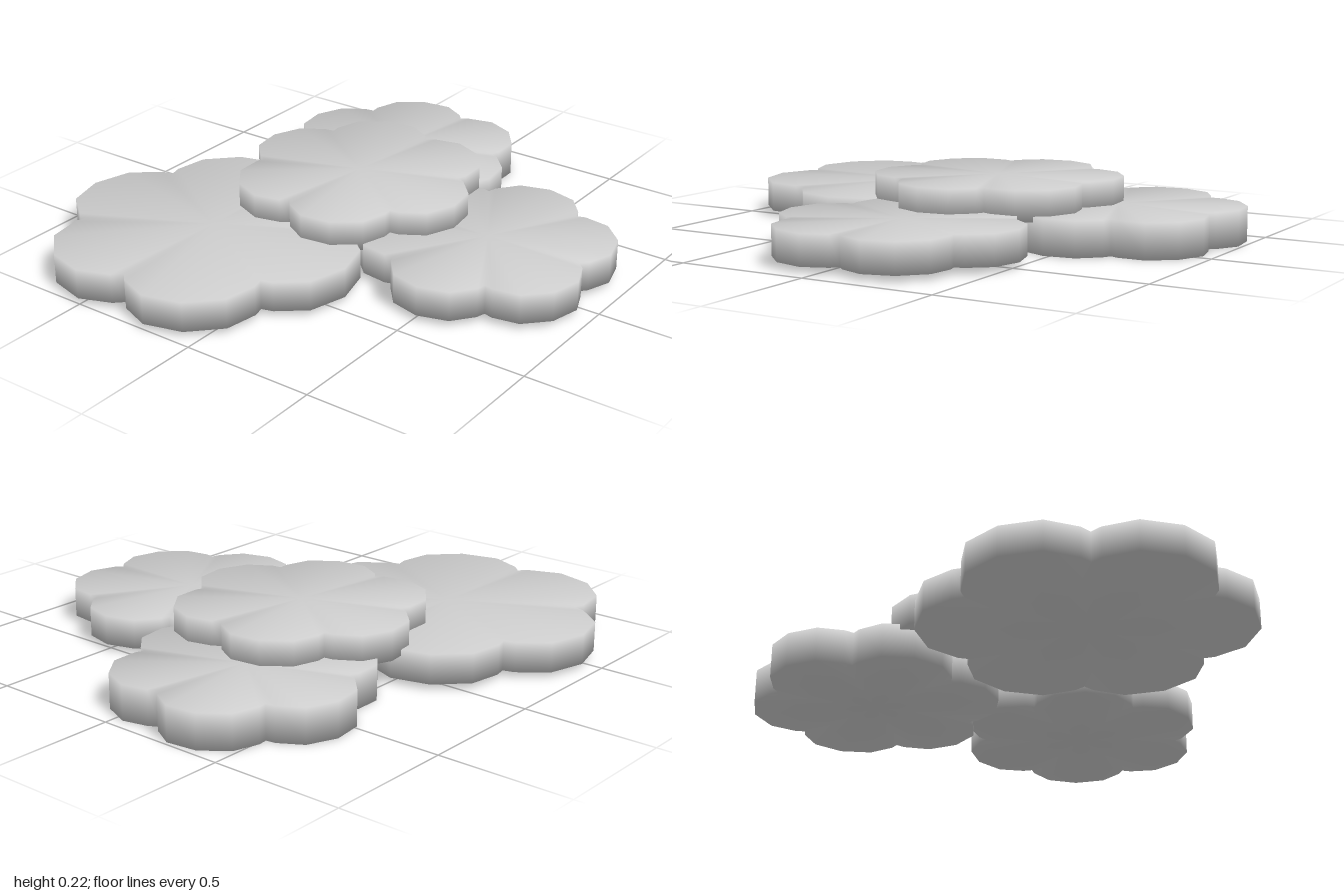
import * as THREE from 'three';

// One lobe of the scalloped rim: [degrees from lobe axis, radius as a share of the tip radius]
const LOBE = [[-30, 0.8], [-26.3, 0.855], [-14.6, 0.965], [0, 1], [14.6, 0.965], [26.3, 0.855]];

// Six-lobed slab with a softly shaded rim (cap and side share their vertices)
function scallopedSlab(radius, turn, height) {
  const rim = [];
  for (let k = 0; k < 6; k++) {
    for (const [deg, r] of LOBE) {
      const a = THREE.MathUtils.degToRad(deg + turn + k * 60);
      rim.push([Math.sin(a) * r * radius, -Math.cos(a) * r * radius]);
    }
  }
  const n = rim.length;
  const positions = [];
  for (const y of [0, height]) {
    for (const [x, z] of rim) positions.push(x, y, z);
  }
  positions.push(0, 0, 0, 0, height, 0);
  const bottomCentre = 2 * n, topCentre = 2 * n + 1;

  const index = [];
  for (let i = 0; i < n; i++) {
    const j = (i + 1) % n;
    index.push(topCentre, n + j, n + i); // upper cap
    index.push(bottomCentre, i, j); // lower cap
    index.push(i, n + i, n + j, i, n + j, j); // rim
  }
  const geometry = new THREE.BufferGeometry();
  geometry.setAttribute('position', new THREE.Float32BufferAttribute(positions, 3));
  geometry.setIndex(index);
  geometry.computeVertexNormals();
  return geometry;
}

export function createModel() {
  const group = new THREE.Group();
  group.name = 'scallopedPads';
  const grey = new THREE.MeshStandardMaterial({ color: 0xcccccc });
  grey.name = 'light grey';

  // name, centre x, centre z, tip radius, turn in degrees, bottom y, top y
  const pads = [
    ['largeBackPad', -0.445, -0.355, 0.595, 0, 0.02, 0.132],
    ['leftPad', 0.54, -0.212, 0.467, 7.7, 0, 0.13],
    ['frontPad', 0.057, 0.505, 0.467, 28.8, 0.022, 0.133],
    ['topPad', 0.1, -0.09, 0.468, 7.5, 0.11, 0.222],
  ];
  for (const [name, x, z, radius, turn, bottom, top] of pads) {
    const pad = new THREE.Mesh(scallopedSlab(radius, turn, top - bottom), grey);
    pad.name = name;
    pad.position.set(x, bottom, z);
    group.add(pad);
  }
  return group;
}
